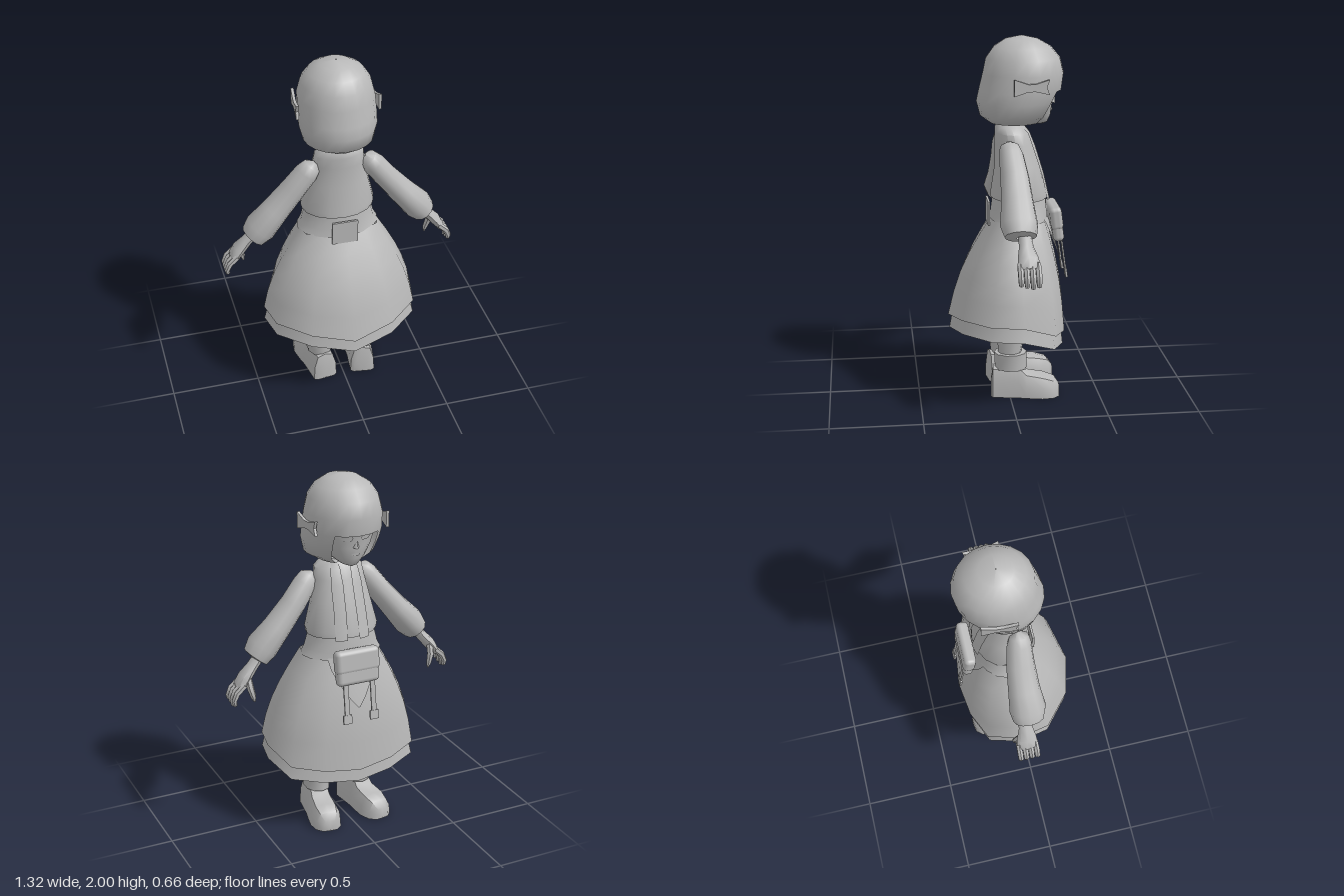
import * as THREE from 'three';
import { toCreasedNormals } from 'three/addons/utils/BufferGeometryUtils.js';
import { RoundedBoxGeometry } from 'three/addons/geometries/RoundedBoxGeometry.js';

const grey = new THREE.MeshStandardMaterial({ color: 0xb8b8b8, side: THREE.DoubleSide });
grey.name = 'plain grey';

function mesh(name, geometry, parent) {
  const m = new THREE.Mesh(geometry, grey);
  m.name = name;
  parent.add(m);
  return m;
}

// Skin a list of point rings; skip(row, column) leaves holes
function loft(rings, closed = true, skip = () => false) {
  const n = rings[0].length, index = [];
  for (let i = 0; i < rings.length - 1; i++) {
    for (let j = 0; j < (closed ? n : n - 1); j++) {
      if (skip(i, j)) continue;
      const k = (j + 1) % n, a = i * n + j, b = i * n + k;
      index.push(a, b, b + n, a, b + n, a + n);
    }
  }
  const g = new THREE.BufferGeometry();
  g.setAttribute('position', new THREE.Float32BufferAttribute(rings.flat(2), 3));
  g.setIndex(index);
  return toCreasedNormals(g, 0.9);
}

// Horizontal oval rings from rows of [y, half width, front z, back z]
function ovals(rows, n, cx = 0) {
  return rows.map(([y, rx, f, b]) => Array.from({ length: n }, (_, j) => {
    const a = j / n * Math.PI * 2;
    return [cx + rx * Math.sin(a), y, (f + b) / 2 + (b - f) / 2 * Math.cos(a)];
  }));
}

// Tapered limb through points of [x, y, z, thickness, depth]
function limb(points, n) {
  const v = points.map(p => new THREE.Vector3(p[0], p[1], p[2]));
  const zAxis = new THREE.Vector3(0, 0, 1);
  return loft(points.map((p, i) => {
    const d = v[Math.min(i + 1, v.length - 1)].clone().sub(v[Math.max(i - 1, 0)]);
    d.z = 0;
    const e = zAxis.clone().cross(d.normalize());
    return Array.from({ length: n }, (_, j) => {
      const a = j / n * Math.PI * 2, c = Math.cos(a) * p[3];
      return [p[0] + e.x * c, p[1] + e.y * c, p[2] + Math.sin(a) * p[4]];
    });
  }));
}

// Cloth strip lying just in front of an oval body; strip rows are [y, x0, x1]
function drape(strip, body, gap) {
  const front = (x, y) => {
    let i = 0;
    while (i < body.length - 2 && body[i + 1][0] < y) i++;
    const t = THREE.MathUtils.clamp((y - body[i][0]) / (body[i + 1][0] - body[i][0]), 0, 1);
    const [, rx, f, b] = body[i].map((q, k) => THREE.MathUtils.lerp(q, body[i + 1][k], t));
    const c = (f + b) / 2;
    return c + (f - c) * Math.sqrt(Math.max(0, 1 - (x / rx) ** 2)) - gap;
  };
  return loft(strip.map(([y, x0, x1]) => Array.from({ length: 7 }, (_, j) => {
    const x = x1 + (x0 - x1) * j / 6;
    return [x, y, front(x, y)];
  })), false);
}

// Twelve-sided skirt outline (one half) and how far each corner of the hem drops
const OUTLINE = [[0, 1], [0.53, 0.82], [0.92, 0.37], [1, -0.15], [0.85, -0.7], [0.46, -0.92], [0, -1]];
const DROP = [-0.04, 0, 0.01, 0.01, -0.06, -0.09, -0.11];
function skirtRing([y, rx, f, b], drop) {
  return Array.from({ length: 12 }, (_, j) => {
    const k = j <= 6 ? j : 12 - j, [x, z] = OUTLINE[k];
    return [(j <= 6 ? x : -x) * rx, y + DROP[k] * drop, z > 0 ? z * b : -z * f];
  });
}

const SKIRT = [[0.48, 0.437, -0.325, 0.33], [0.6, 0.412, -0.312, 0.297], [0.7, 0.38, -0.295, 0.26],
  [0.8, 0.337, -0.27, 0.21], [0.9, 0.285, -0.243, 0.15], [1.01, 0.22, -0.21, 0.08]];
const VEST = [[1.12, 0.2, -0.225, 0.09], [1.15, 0.207, -0.222, 0.088], [1.3, 0.17, -0.178, 0.065],
  [1.42, 0.145, -0.14, 0.066], [1.48, 0.137, -0.115, 0.066], [1.51, 0.1, -0.095, 0.064], [1.535, 0.058, -0.075, 0.05]];
const HAIR = [[1.525, 0.04, -0.12, 0.03], [1.53, 0.12, -0.18, 0.09], [1.57, 0.19, -0.22, 0.145],
  [1.65, 0.21, -0.268, 0.165], [1.71, 0.212, -0.298, 0.152], [1.8, 0.207, -0.31, 0.13], [1.88, 0.187, -0.29, 0.113],
  [1.94, 0.148, -0.24, 0.07], [1.98, 0.085, -0.17, 0.01], [2, 0.002, -0.082, -0.078]];
const FACE = [[1.518, 0.01, -0.2, -0.17], [1.53, 0.045, -0.223, -0.1], [1.57, 0.095, -0.24, -0.02],
  [1.63, 0.14, -0.248, 0.04], [1.69, 0.16, -0.258, 0.05], [1.74, 0.165, -0.272, 0.05], [1.8, 0.15, -0.26, 0.03]];

function buildHead(root) {
  const head = new THREE.Group();
  head.name = 'head';
  root.add(head);
  // Bob with an opening for the face under the fringe
  mesh('hair', loft(ovals(HAIR, 20), true, (i, j) => i < 4 && j >= 8 && j < 12), head);
  mesh('face', loft(ovals(FACE, 20)), head);
  mesh('neck', new THREE.CylinderGeometry(0.05, 0.06, 0.14, 10), head).position.set(0, 1.54, -0.03);
  const nose = mesh('nose', new THREE.ConeGeometry(0.018, 0.045, 4), head);
  nose.position.set(0, 1.655, -0.256);
  nose.rotation.x = -0.35;
  mesh('mouth', drape([[1.588, -0.012, 0.012], [1.596, -0.028, 0.028], [1.603, -0.018, 0.018]], FACE, 0.005), head);
  // Bow clips and eyes on both sides
  const bow = new THREE.Shape([[-0.095, -0.045], [-0.02, -0.022], [0.02, -0.022], [0.095, -0.04],
    [0.08, 0], [0.095, 0.04], [0.02, 0.018], [-0.02, 0.018], [-0.095, 0.045]].map(p => new THREE.Vector2(...p)));
  for (const s of [1, -1]) {
    mesh('eye', drape([[1.675, s * 0.05 - 0.02, s * 0.05 + 0.02], [1.69, s * 0.055 - 0.033, s * 0.055 + 0.033],
      [1.702, s * 0.055 - 0.025, s * 0.055 + 0.025]], FACE, 0.005), head);
    const clip = mesh('hairBow', new THREE.ExtrudeGeometry(bow, { depth: 0.016, bevelEnabled: false }), head);
    clip.position.set(s * 0.207, 1.75, -0.11);
    clip.rotation.y = s * (Math.PI / 2 + 0.09);
  }
}

function buildArm(side) {
  const arm = new THREE.Group();
  arm.name = side > 0 ? 'leftArm' : 'rightArm';
  mesh('sleeve', limb([[0.135, 1.445, 0, 0.01, 0.01], [0.155, 1.425, 0, 0.05, 0.052], [0.185, 1.385, -0.005, 0.063, 0.066],
    [0.26, 1.285, -0.015, 0.066, 0.076], [0.36, 1.165, -0.018, 0.074, 0.086], [0.445, 1.07, -0.016, 0.085, 0.1],
    [0.485, 1.02, -0.02, 0.07, 0.085], [0.49, 1.013, -0.03, 0.03, 0.03]], 12), arm);
  mesh('palm', limb([[0.47, 1.035, -0.04, 0.03, 0.035], [0.52, 0.975, -0.045, 0.03, 0.038],
    [0.565, 0.925, -0.05, 0.033, 0.055], [0.6, 0.875, -0.05, 0.022, 0.058], [0.605, 0.868, -0.05, 0.005, 0.03]], 8), arm);
  for (let i = 0; i < 4; i++) {
    const z = -0.098 + i * 0.031, tip = 0.785 + 0.008 * Math.abs(i - 1);
    mesh('finger', limb([[0.58, 0.9, z, 0.018, 0.016], [0.625, 0.86, z, 0.018, 0.017],
      [0.643, 0.82, z, 0.015, 0.016], [0.638, tip, z, 0.012, 0.012], [0.636, tip - 0.005, z, 0.002, 0.002]], 6), arm);
  }
  mesh('thumb', limb([[0.555, 0.94, -0.075, 0.02, 0.02], [0.55, 0.88, -0.1, 0.02, 0.02],
    [0.537, 0.83, -0.108, 0.016, 0.015], [0.53, 0.8, -0.108, 0.005, 0.005]], 6), arm);
  arm.scale.x = side;
  return arm;
}

function buildLeg(side) {
  const leg = new THREE.Group();
  leg.name = side > 0 ? 'leftLeg' : 'rightLeg';
  mesh('shin', loft(ovals([[0.15, 0.052, -0.07, 0.05], [0.25, 0.055, -0.07, 0.06], [0.4, 0.07, -0.1, 0.07],
    [0.7, 0.085, -0.12, 0.07]], 10, 0.12)), leg);
  mesh('bootCuff', loft(ovals([[0.155, 0.055, -0.075, 0.06], [0.155, 0.073, -0.1, 0.078], [0.25, 0.08, -0.1, 0.084],
    [0.25, 0.055, -0.07, 0.06]], 10, 0.125)), leg);
  // Boot sections run from heel to toe as [z, half width, height]
  const sections = [[0.1, 0.002, 0.005], [0.1, 0.05, 0.1], [0.088, 0.07, 0.17], [-0.06, 0.074, 0.175], [-0.1, 0.08, 0.135],
    [-0.19, 0.087, 0.12], [-0.25, 0.072, 0.1], [-0.28, 0.04, 0.06], [-0.283, 0.002, 0.005]];
  const boot = mesh('boot', loft(sections.map(([z, w, h]) => [[0, h], [0.65 * w, 0.93 * h], [0.95 * w, 0.5 * h], [w, 0],
    [-w, 0], [-0.95 * w, 0.5 * h], [-0.65 * w, 0.93 * h]].map(([x, y]) => [x, y, z]))), leg);
  boot.position.x = 0.125;
  boot.rotation.y = -0.14;
  leg.scale.x = side;
  return leg;
}

function buildClothes(root) {
  mesh('skirt', loft(SKIRT.map((r, i) => skirtRing(r, [1, 0.6, 0.3, 0.1, 0, 0][i]))), root);
  mesh('underskirt', loft([skirtRing([0.4, 0.437, -0.315, 0.323], 0.92), skirtRing([0.53, 0.405, -0.3, 0.3], 0.9)]), root);
  mesh('sash', loft(ovals([[0.998, 0.21, -0.2, 0.08], [1, 0.23, -0.228, 0.098], [1.04, 0.208, -0.224, 0.09],
    [1.1, 0.192, -0.218, 0.082], [1.14, 0.185, -0.21, 0.078]], 16)), root);
  mesh('vest', loft(ovals(VEST, 16)), root);
  mesh('backTab', new THREE.BoxGeometry(0.145, 0.135, 0.012), root).position.set(0, 1.035, 0.104);
  mesh('frontPanel', drape([[0.74, -0.005, 0.005], [0.79, -0.045, 0.045], [0.88, -0.1, 0.1], [0.95, -0.13, 0.13],
    [1.01, -0.14, 0.14]], SKIRT, 0.016), root);
  // Lapels, and straps hanging below the pouch
  for (const s of [1, -1]) {
    const rows = [[1.11, 0.035, 0.1], [1.25, 0.03, 0.095], [1.4, 0.027, 0.09], [1.48, 0.03, 0.08], [1.53, 0.03, 0.055]];
    mesh('lapel', drape(rows.map(([y, a, b]) => s > 0 ? [y, a, b] : [y, -b, -a]), VEST, 0.01), root);
    const strap = new THREE.Group();
    strap.name = 'strap';
    mesh('strapBand', new THREE.BoxGeometry(0.028, 0.2, 0.009), strap);
    mesh('strapEnd', new THREE.BoxGeometry(0.05, 0.05, 0.012), strap).position.y = -0.1;
    strap.position.set(s * 0.08, 0.79, -0.308);
    strap.rotation.x = 0.14;
    root.add(strap);
  }
  const pouch = new THREE.Group();
  pouch.name = 'pouch';
  mesh('pouchBody', new RoundedBoxGeometry(0.25, 0.19, 0.06, 3, 0.025), pouch);
  mesh('pouchFlap', new RoundedBoxGeometry(0.258, 0.13, 0.068, 2, 0.025), pouch).position.y = 0.035;
  pouch.position.set(0, 0.97, -0.268);
  pouch.rotation.x = 0.13;
  root.add(pouch);
}

export function createModel() {
  const root = new THREE.Group();
  root.name = 'girlInSkirt';
  buildHead(root);
  buildClothes(root);
  for (const s of [1, -1]) root.add(buildArm(s), buildLeg(s));
  return root;
}
